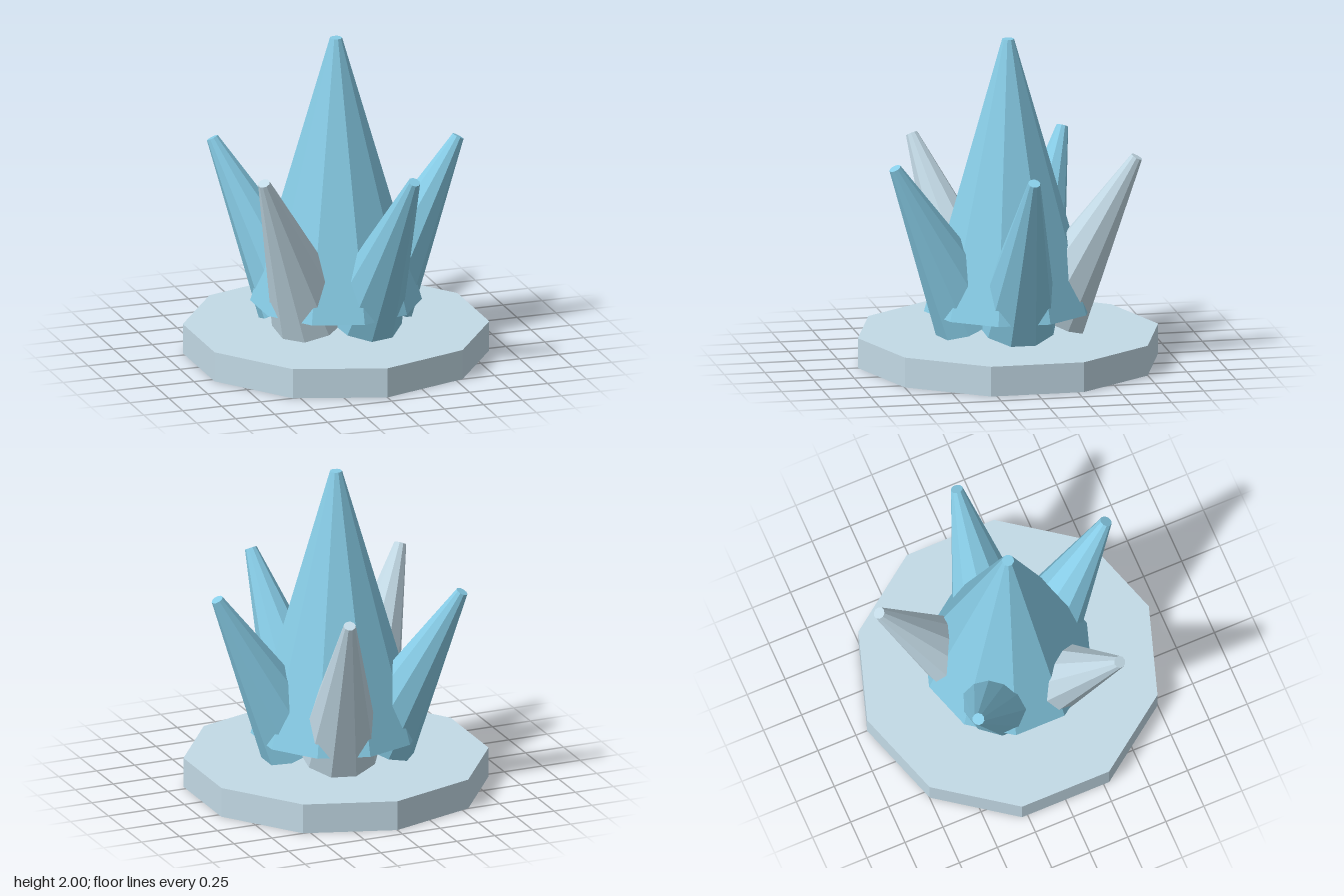
import * as THREE from 'three';

const SIDES = 10;

export function createModel() {
  const model = new THREE.Group();
  model.name = 'crystalCluster';

  const flat = (name, color) => {
    const material = new THREE.MeshStandardMaterial({
      color, flatShading: true, side: THREE.DoubleSide });
    material.name = name;
    return material;
  };
  const iceBlue = flat('iceBlue', 0x87cce6);
  const paleGrey = flat('paleGrey', 0xc3dae6);

  // Ten-sided frustum, standing with its middle at height y
  const frustum = (name, topR, bottomR, height, y, material, open = false) => {
    const mesh = new THREE.Mesh(
      new THREE.CylinderGeometry(topR, bottomR, height, SIDES, 1, open), material);
    mesh.name = name;
    mesh.position.y = y;
    return mesh;
  };

  // Hollow plinth: a rim closed by a top plate, open underneath
  model.add(frustum('baseRim', 0.926, 0.926, 0.185, 0.0925, paleGrey, true));
  const top = new THREE.Mesh(
    new THREE.CircleGeometry(0.926, SIDES, Math.PI / 2), paleGrey);
  top.name = 'baseTop';
  top.rotation.x = -Math.PI / 2;
  top.position.y = 0.185;
  model.add(top);

  // Tall crystal hovering over the plinth
  model.add(frustum('mainCrystal', 0.037, 0.519, 1.667, 1.1667, iceBlue));

  // Five smaller crystals leaning outwards in a ring
  const tints = [iceBlue, paleGrey, iceBlue, paleGrey, iceBlue];
  tints.forEach((material, i) => {
    const angle = (i / 5) * Math.PI * 2;
    const c = Math.cos(angle), s = -Math.sin(angle);
    const shard = frustum('sideCrystal' + (i + 1), 0.037, 0.249, 1.111, 0.799, material);
    shard.position.x = 0.517 * c;
    shard.position.z = 0.517 * s;
    shard.rotation.set(0.5 * s, 0, -0.5 * c, 'ZYX');
    model.add(shard);
  });

  return model;
}
